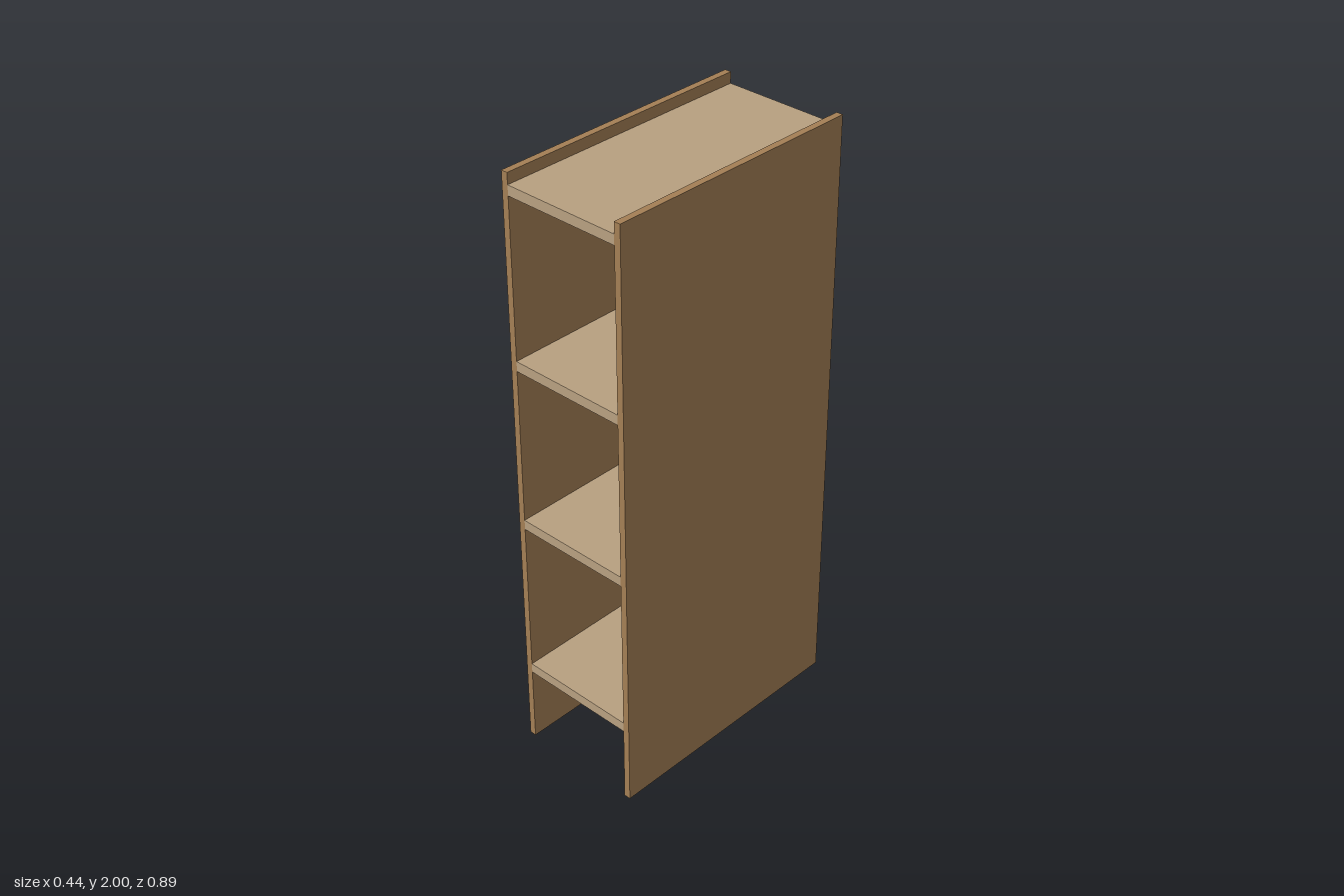
import * as THREE from 'three';

const DEPTH = 0.889, HEIGHT = 2, PANEL = 0.0222, INNER = 0.4, SHELF = 0.0333;

export function createModel() {
  const group = new THREE.Group();
  const panelWood = new THREE.MeshStandardMaterial({ color: 0xa47f55 });
  const shelfWood = new THREE.MeshStandardMaterial({ color: 0xb8a080 });

  function addBoard(name, material, w, h, x, y) {
    const board = new THREE.Mesh(new THREE.BoxGeometry(w, h, DEPTH), material);
    board.name = name;
    board.position.set(x, y, 0);
    group.add(board);
  }

  // Full-height side panels
  for (const [name, s] of [['leftPanel', 1], ['rightPanel', -1]]) {
    addBoard(name, panelWood, PANEL, HEIGHT, s * (INNER + PANEL) / 2, HEIGHT / 2);
  }

  // Four evenly spaced shelves between the panels
  for (let i = 0; i < 4; i++) {
    addBoard(`shelf${i + 1}`, shelfWood, INNER, SHELF, 0, 0.28 + i * 0.5556);
  }

  group.name = 'shelfUnit';
  return group;
}
